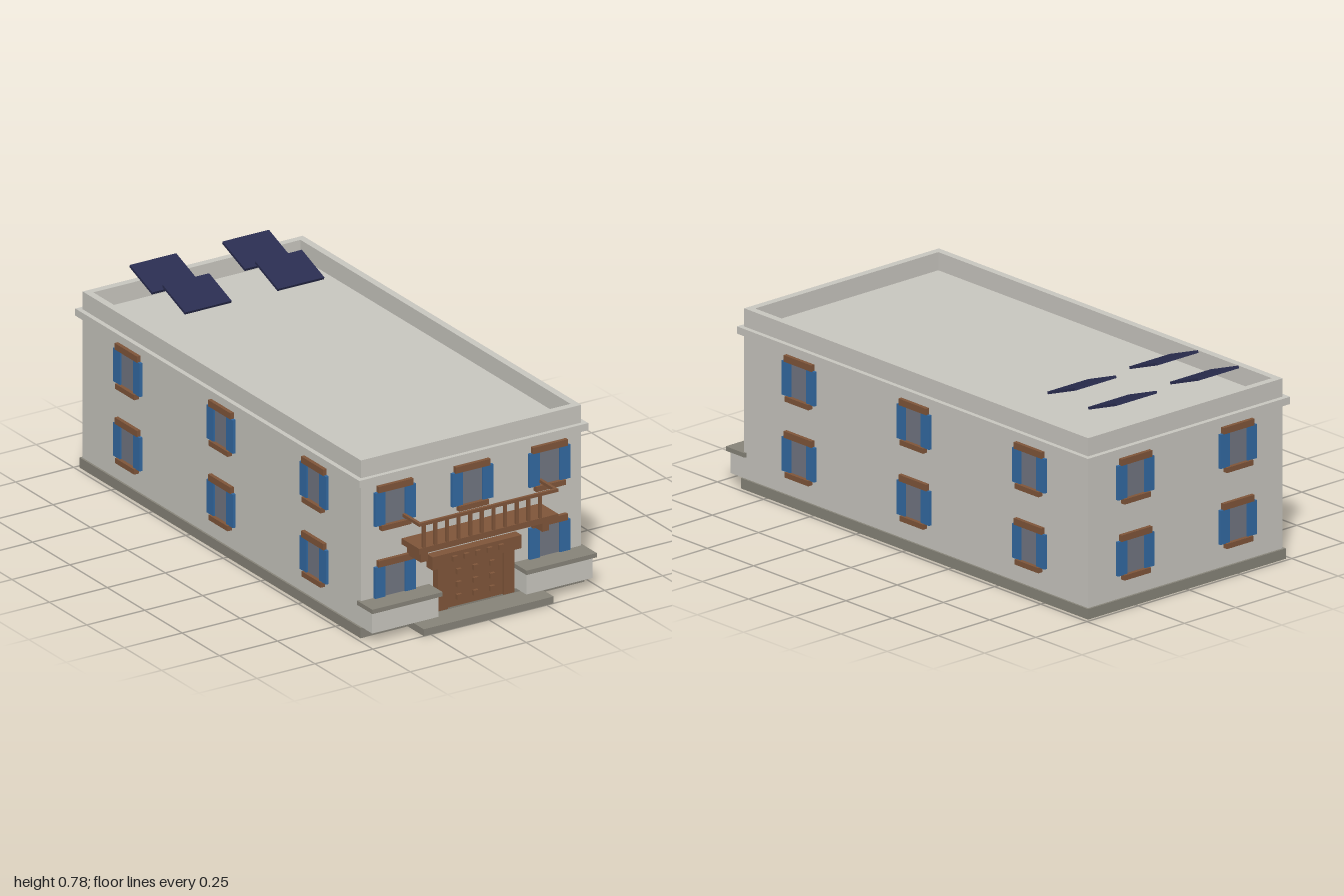
import * as THREE from 'three';

const mat = (name, color, opts = {}) => {
  const m = new THREE.MeshStandardMaterial({ color, ...opts });
  m.name = name;
  return m;
};

export function createModel() {
  const wall = mat('plaster', 0xcac8c1);
  const stone = mat('stone', 0x88857a);
  const wood = mat('wood', 0x80563a);
  const blue = mat('shutterBlue', 0x336aa3);
  const glass = mat('glass', 0x727682);
  const navy = mat('solarNavy', 0x2a2d50);

  const model = new THREE.Group();
  model.name = 'house';

  // Box given by its extents on each axis
  function box(parent, name, material, [x0, x1], [y0, y1], [z0, z1]) {
    const mesh = new THREE.Mesh(new THREE.BoxGeometry(x1 - x0, y1 - y0, z1 - z0), material);
    mesh.position.set((x0 + x1) / 2, (y0 + y1) / 2, (z0 + z1) / 2);
    mesh.name = name;
    parent.add(mesh);
    return mesh;
  }

  // Main body
  const X = 0.475, F = 0.882, B = -0.978;
  box(model, 'basePlinth', stone, [-0.483, 0.483], [0, 0.04], [-0.987, 0.892]);
  box(model, 'frontStep', stone, [-0.28, 0.28], [0, 0.027], [0.88, 1]);
  box(model, 'walls', wall, [-X, X], [0.04, 0.6], [B, F]);
  box(model, 'corniceAndRoof', wall, [-0.494, 0.494], [0.597, 0.625], [-0.998, 0.9]);

  // Parapet ring
  const t = 0.028;
  const ring = new THREE.Shape([[-X, -F], [X, -F], [X, -B], [-X, -B]].map(p => new THREE.Vector2(...p)));
  ring.holes.push(new THREE.Path([[-X + t, -F + t], [-X + t, -B - t], [X - t, -B - t], [X - t, -F + t]]
    .map(p => new THREE.Vector2(...p))));
  const parapet = new THREE.Mesh(new THREE.ExtrudeGeometry(ring, { depth: 0.07, bevelEnabled: false }), wall);
  parapet.rotation.x = -Math.PI / 2;
  parapet.position.y = 0.625;
  parapet.name = 'parapet';
  model.add(parapet);

  // Shuttered window facing local +z, origin at the middle of the pane
  function addWindow(x, y, z, turn) {
    const g = new THREE.Group();
    g.name = 'window';
    box(g, 'pane', glass, [-0.043, 0.043], [-0.065, 0.065], [-0.003, 0.005]);
    for (const s of [-1, 1]) {
      const shutter = box(g, 'shutter', blue, [-0.0225, 0.0225], [-0.066, 0.066], [-0.003, 0.012]);
      shutter.position.x = s * 0.0655;
    }
    box(g, 'lintel', wood, [-0.075, 0.075], [0.065, 0.09], [-0.003, 0.015]);
    box(g, 'sill', wood, [-0.064, 0.064], [-0.085, -0.065], [-0.003, 0.02]);
    g.position.set(x, y, z);
    g.rotation.y = turn;
    model.add(g);
  }
  const low = 0.197, high = 0.49;
  for (const y of [low, high]) {
    for (const s of [-1, 1]) {
      addWindow(s * 0.333, y, F, 0);
      addWindow(s * 0.25, y, B, Math.PI);
      for (const z of [0.578, -0.043, -0.667]) addWindow(s * X, y, z, s * Math.PI / 2);
    }
  }
  addWindow(0, high, F, 0);

  // Studded entrance
  const door = new THREE.Group();
  door.name = 'entrance';
  model.add(door);
  box(door, 'doorPanel', wood, [-0.12, 0.12], [0.04, 0.21], [0.875, 0.905]);
  for (const s of [-1, 1]) {
    const jamb = box(door, 'doorJamb', wood, [-0.0225, 0.0225], [0.04, 0.21], [0.875, 0.915]);
    jamb.position.x = s * 0.1425;
  }
  box(door, 'doorLintel', wood, [-0.192, 0.192], [0.21, 0.262], [0.875, 0.922]);
  const stud = (x, y, z) =>
    box(door, 'stud', wood, [x - 0.01, x + 0.01], [y - 0.01, y + 0.01], [z - 0.005, z + 0.012]);
  for (let i = -2; i <= 2; i++) stud(i * 0.05, 0.239, 0.922);
  for (const y of [0.077, 0.127, 0.177])
    for (const x of [-0.072, 0, 0.072]) stud(x, y, 0.905);

  // Low walls with caps on both sides of the entrance
  for (const s of [-1, 1]) {
    const body = box(model, 'lowWall', wall, [0.19, X], [0.04, 0.124], [0.87, 0.957]);
    const cap = box(model, 'lowWallCap', stone, [0.181, 0.484], [0.124, 0.141], [0.87, 0.972]);
    body.position.x *= s;
    cap.position.x *= s;
  }

  // Balcony with brackets, rails and balusters
  const balcony = new THREE.Group();
  balcony.name = 'balcony';
  model.add(balcony);
  box(balcony, 'balconyFloor', wood, [-0.3, 0.3], [0.325, 0.348], [0.875, 1]);
  box(balcony, 'frontRail', wood, [-0.3, 0.3], [0.435, 0.447], [0.988, 1]);
  for (const s of [-1, 1]) {
    const bracket = box(balcony, 'bracket', wood, [-0.015, 0.015], [0.28, 0.325], [0.875, 0.975]);
    bracket.position.x = s * 0.262;
    const rail = box(balcony, 'sideRail', wood, [-0.006, 0.006], [0.435, 0.447], [0.875, 0.99]);
    rail.position.x = s * 0.294;
  }
  for (let i = 0; i < 11; i++) {
    const x = -0.277 + i * 0.0502;
    box(balcony, 'baluster', wood, [x - 0.006, x + 0.006], [0.346, 0.437], [0.989, 0.999]);
  }

  // Tilted solar panels
  for (const x of [-0.2, 0.2]) {
    for (const z of [-0.86, -0.64]) {
      const panel = box(model, 'solarPanel', navy, [-0.1, 0.1], [-0.005, 0.005], [-0.08, 0.08]);
      panel.position.set(x, 0.743, z);
      panel.rotation.x = Math.PI / 9;
    }
  }
  return model;
}
